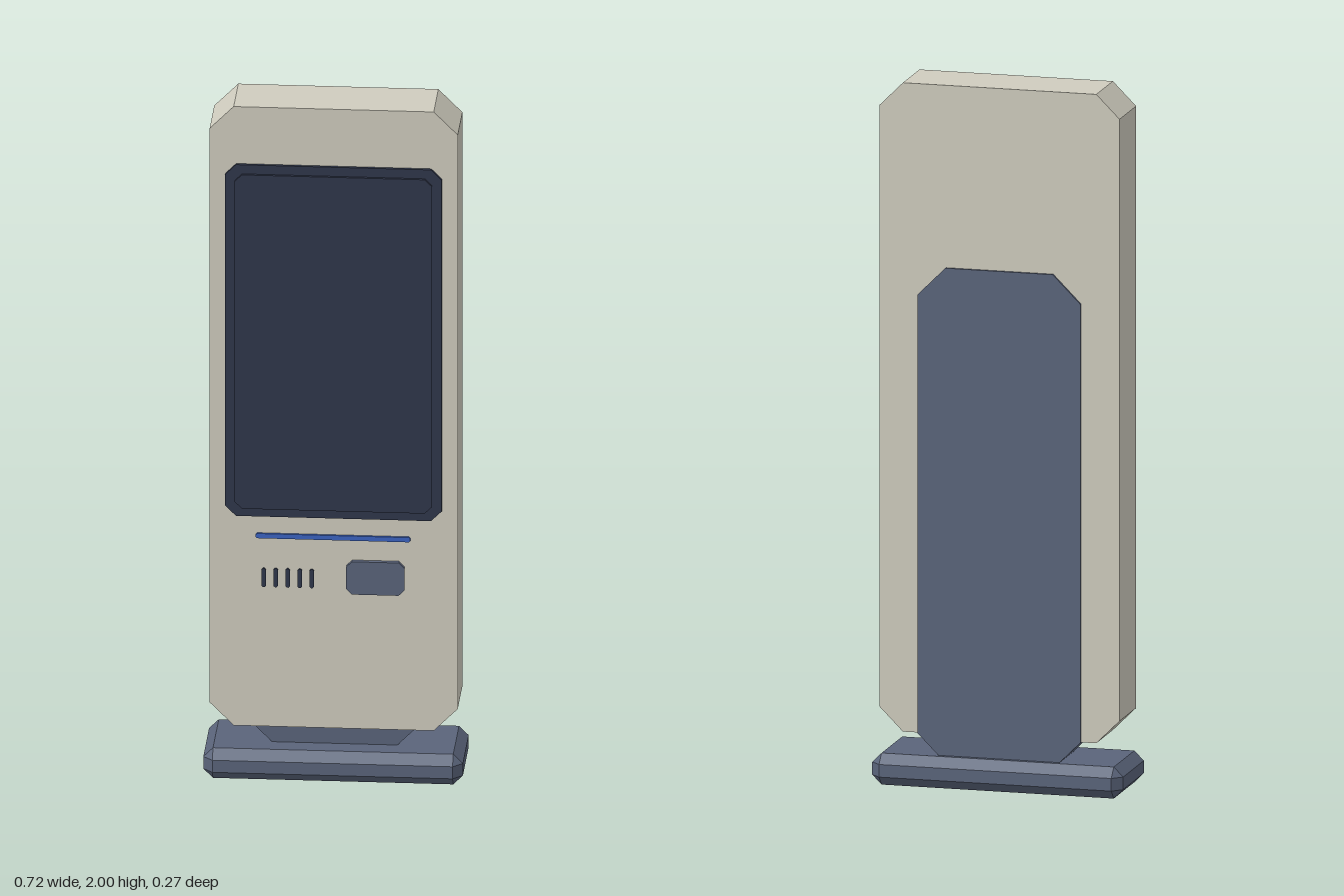
import * as THREE from 'three';
import { ConvexGeometry } from 'three/addons/geometries/ConvexGeometry.js';

const material = (name, color) => {
  const m = new THREE.MeshStandardMaterial({ color });
  m.name = name;
  return m;
};

// Upright plate with four cut corners, running from z0 to z1
function cutPlate(x0, x1, y0, y1, z0, z1, cut) {
  const shape = new THREE.Shape([
    [x0 + cut, y0], [x1 - cut, y0], [x1, y0 + cut], [x1, y1 - cut],
    [x1 - cut, y1], [x0 + cut, y1], [x0, y1 - cut], [x0, y0 + cut],
  ].map(([x, y]) => new THREE.Vector2(x, y)));
  const geometry = new THREE.ExtrudeGeometry(shape, { depth: z1 - z0, bevelEnabled: false });
  return geometry.translate(0, 0, z0);
}

// Box with every edge chamfered
function chamferedBox(w, h, d, c) {
  const points = [];
  for (const sx of [-1, 1]) for (const sy of [-1, 1]) for (const sz of [-1, 1]) {
    for (const axis of [0, 1, 2]) {
      const size = [w, h, d].map((s, i) => s / 2 - (i === axis ? 0 : c));
      points.push(new THREE.Vector3(sx * size[0], sy * size[1], sz * size[2]));
    }
  }
  return new ConvexGeometry(points);
}

export function createModel() {
  const model = new THREE.Group();
  model.name = 'kiosk';
  const cream = material('cream casing', 0xcfccbe);
  const slate = material('slate metal', 0x5a647a);
  const navy = material('dark glass', 0x2f364a);
  const blue = material('blue light', 0x3a62c0);

  const add = (name, geometry, mat, parent = model) => {
    const mesh = new THREE.Mesh(geometry, mat);
    mesh.name = name;
    parent.add(mesh);
    return mesh;
  };

  // Foot, and the spine that forms both neck and back panel
  add('base', chamferedBox(0.724, 0.09, 0.27, 0.027), slate).position.y = 0.045;
  add('spine', cutPlate(-0.235, 0.235, 0.07, 1.48, -0.095, 0.05, 0.08), slate);

  // Main casing
  add('body', cutPlate(-0.346, 0.346, 0.15, 2, -0.088, 0.086, 0.067), cream);

  // Display
  add('screenFrame', cutPlate(-0.302, 0.302, 0.78, 1.83, 0.08, 0.095, 0.03), navy);
  add('screen', cutPlate(-0.275, 0.275, 0.805, 1.803, 0.09, 0.103, 0.02), navy);

  // Controls below the display
  add('lightStrip', cutPlate(-0.217, 0.214, 0.714, 0.728, 0.08, 0.093, 0.004), blue);
  add('cardReader', cutPlate(0.036, 0.198, 0.556, 0.654, 0.08, 0.1, 0.016), slate);
  const vents = new THREE.Group();
  vents.name = 'speakerVents';
  model.add(vents);
  for (let i = 0; i < 5; i++) {
    const x = -0.195 + i * 0.0335;
    add('vent', cutPlate(x - 0.006, x + 0.006, 0.568, 0.624, 0.08, 0.092, 0.004), navy, vents);
  }
  return model;
}
